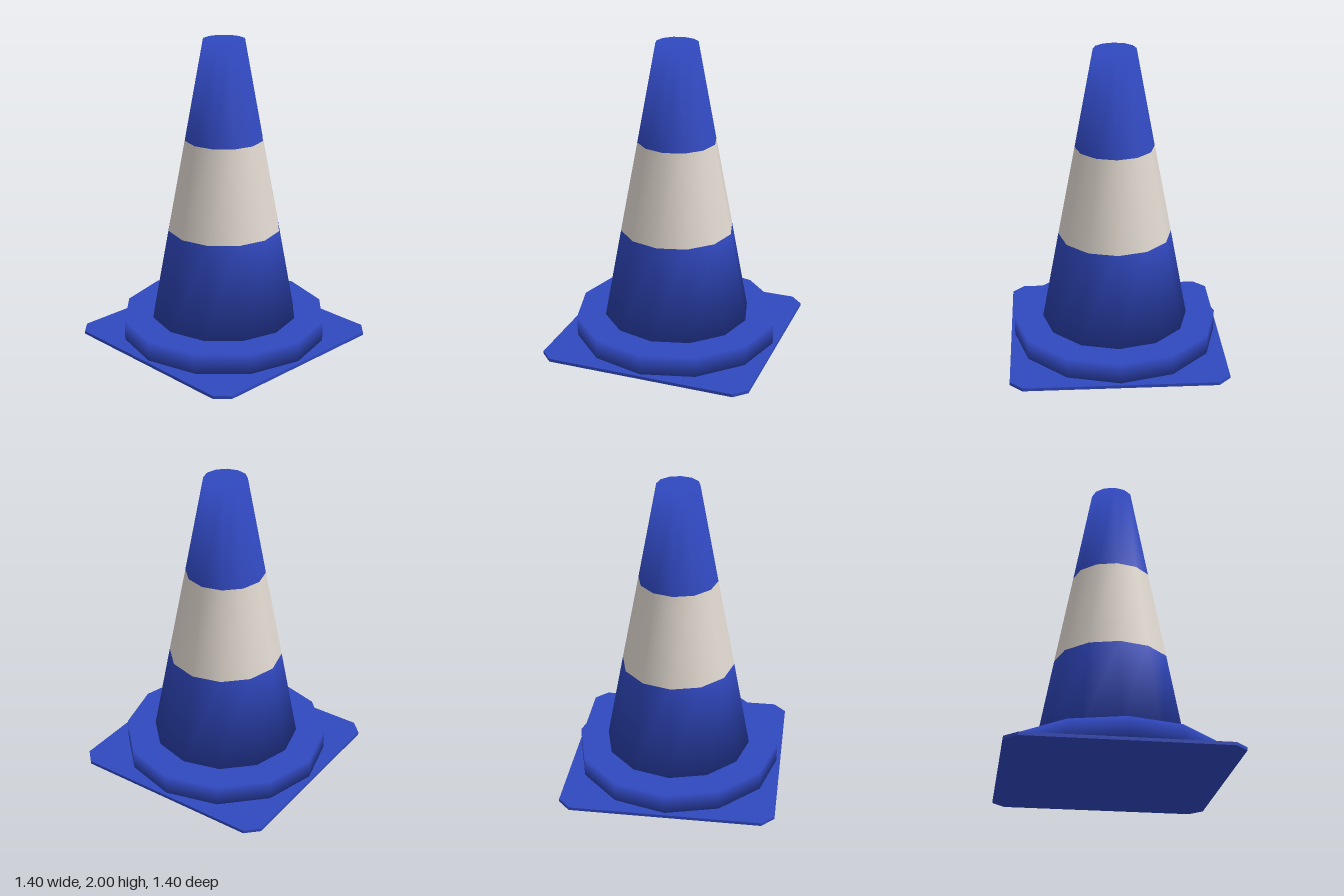
import * as THREE from 'three';

const SIDES = 12;
const blue = new THREE.MeshStandardMaterial({ color: 0x3048bf, side: THREE.DoubleSide });
const white = new THREE.MeshStandardMaterial({ color: 0xded6cd, side: THREE.DoubleSide });

// Twelve-sided section from y0 up to y1; a rim can be given a vertical normal
// (1 or -1) so that its shading blends softly into the neighbouring cap.
function section(name, material, r0, y0, r1, y1, { open = true, low = 0, high = 0 } = {}) {
  const geo = new THREE.CylinderGeometry(r1, r0, y1 - y0, SIDES, 1, open);
  geo.translate(0, (y0 + y1) / 2, 0);
  const normal = geo.attributes.normal;
  for (let i = 0; i <= SIDES; i++) {
    if (high) normal.setXYZ(i, 0, high, 0);
    if (low) normal.setXYZ(SIDES + 1 + i, 0, low, 0);
  }
  const mesh = new THREE.Mesh(geo, material);
  mesh.name = name;
  return mesh;
}

// Thin square plate with cut corners
function basePlate(half, cut, height) {
  const shape = new THREE.Shape();
  const c = half - cut;
  shape.setFromPoints([
    [half, -c], [half, c], [c, half], [-c, half],
    [-half, c], [-half, -c], [-c, -half], [c, -half],
  ].map(([x, y]) => new THREE.Vector2(x, y)));
  const geo = new THREE.ExtrudeGeometry(shape, { depth: height, bevelEnabled: false });
  geo.rotateX(-Math.PI / 2);
  const mesh = new THREE.Mesh(geo, blue);
  mesh.name = 'basePlate';
  return mesh;
}

export function createModel() {
  const group = new THREE.Group();
  group.name = 'trafficCone';

  // Foot
  group.add(basePlate(0.7, 0.08, 0.02));
  group.add(section('baseCollar', blue, 0.675, 0.02, 0.675, 0.155, { open: false, low: -1, high: 1 }));

  // Tapered body with a pale band
  group.add(section('lowerCone', blue, 0.483, 0.155, 0.37, 0.76, { low: -1 }));
  group.add(section('reflectiveBand', white, 0.37, 0.76, 0.256, 1.36));
  group.add(section('upperCone', blue, 0.256, 1.36, 0.136, 2, { high: 1 }));

  // Closed tip
  const tip = new THREE.Mesh(new THREE.CircleGeometry(0.136, SIDES).rotateX(-Math.PI / 2), blue);
  tip.name = 'tipCap';
  tip.position.y = 2;
  group.add(tip);

  return group;
}
